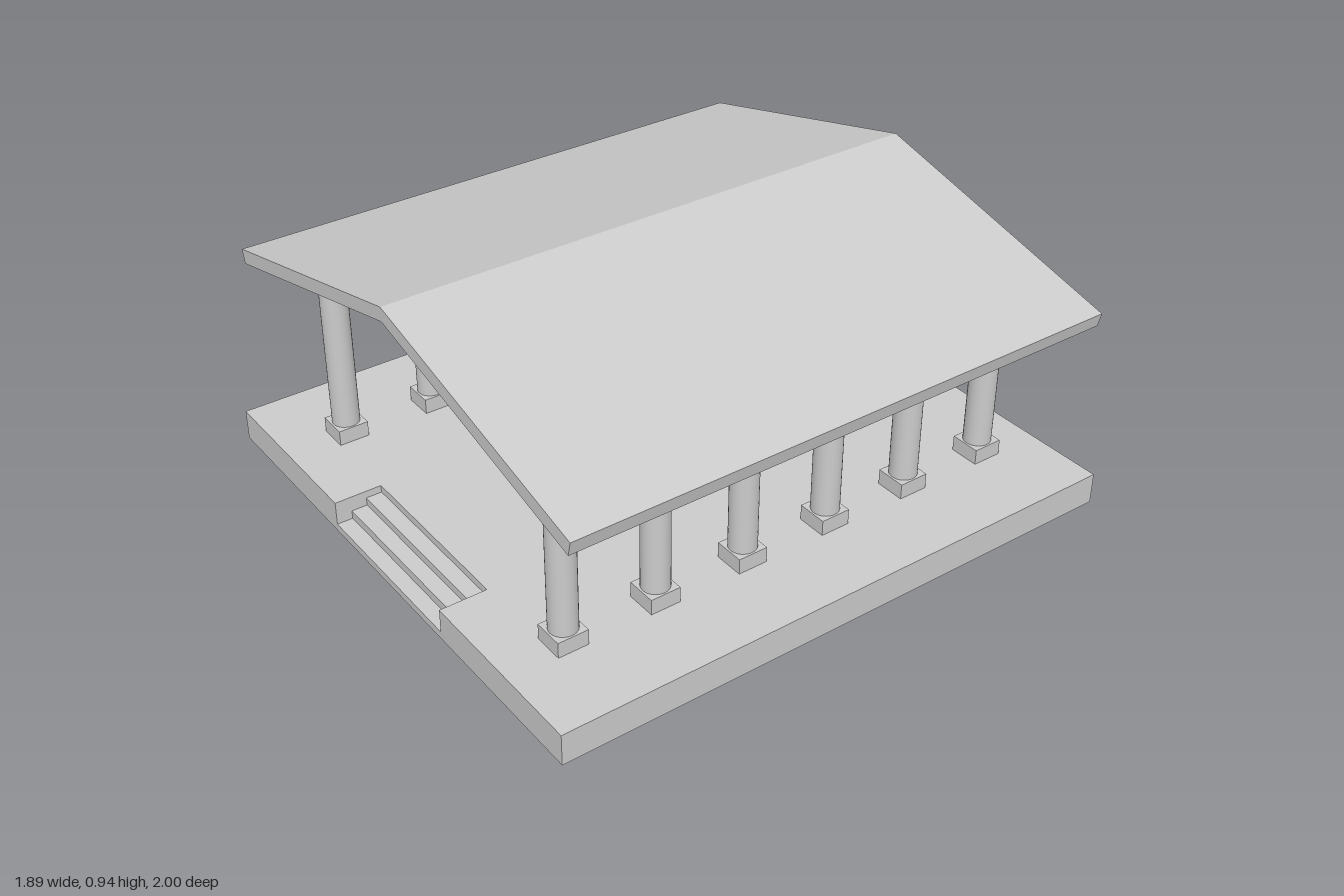
import * as THREE from 'three';

const material = new THREE.MeshStandardMaterial({ color: 0xcccccc });

function shapeOf(points) {
  return new THREE.Shape(points.map(([x, y]) => new THREE.Vector2(x, y)));
}

// Extrudes an x/y outline between two z positions
function prism(points, z0, z1) {
  const geometry = new THREE.ExtrudeGeometry(shapeOf(points), { depth: z1 - z0, bevelEnabled: false });
  return geometry.translate(0, 0, z0);
}

// Box given by its minimum and maximum corners
function block(x0, y0, z0, x1, y1, z1) {
  return new THREE.BoxGeometry(x1 - x0, y1 - y0, z1 - z0)
    .translate((x0 + x1) / 2, (y0 + y1) / 2, (z0 + z1) / 2);
}

function add(parent, name, geometry) {
  const mesh = new THREE.Mesh(geometry, material);
  mesh.name = name;
  parent.add(mesh);
  return mesh;
}

function group(parent, name) {
  const g = new THREE.Group();
  g.name = name;
  parent.add(g);
  return g;
}

const FLOOR = 0.105;

// Platform: stacked layers whose front notch deepens upwards, forming the steps
function buildPlatform(parent) {
  const platform = group(parent, 'platform');
  const levels = [0, 0.025, 0.053, 0.08, FLOOR];
  const hx = 0.945, notch = 0.315, tread = 0.053;
  for (let i = 0; i < 4; i++) {
    const back = -1 + i * tread;
    const outline = [[-hx, -1]];
    if (i > 0) outline.push([-notch, -1], [-notch, back], [notch, back], [notch, -1]);
    outline.push([hx, -1], [hx, 1], [-hx, 1]);
    const geometry = prism(outline, levels[i], levels[i + 1]).rotateX(-Math.PI / 2);
    add(platform, i === 0 ? 'baseSlab' : 'stepLayer' + i, geometry);
  }
}

// Columns with square plinths, and sloped-top beams each carried by three columns
function buildColonnade(parent, side) {
  const row = group(parent, side > 0 ? 'leftColonnade' : 'rightColonnade');
  const x = 0.635 * side, half = 0.051, spacing = 0.315, beamBottom = 0.69;
  for (let i = 0; i < 6; i++) {
    const z = (i - 2.5) * spacing;
    add(row, 'plinth', block(x - half, FLOOR, z - half, x + half, 0.157, z + half));
    const height = beamBottom - 0.157;
    add(row, 'columnShaft', new THREE.CylinderGeometry(0.045, 0.045, height, 32))
      .position.set(x, 0.157 + height / 2, z);
  }
  const inner = 0.635 - half, outer = 0.635 + half;
  const outline = [[inner, beamBottom], [outer, beamBottom], [outer, 0.72], [inner, 0.746]]
    .map(([px, py]) => [px * side, py]);
  for (const end of [-1, 1]) {
    const a = end * (0.5 * spacing - half), b = end * (2.5 * spacing + half);
    add(row, 'roofBeam', prism(outline, Math.min(a, b), Math.max(a, b)));
  }
}

// High-backed chair near the rear of the floor
function buildChair(parent) {
  const chair = group(parent, 'chair');
  const w = 0.105, inner = 0.064, front = -0.527, back = -0.737, rest = -0.696, under = 0.19;
  add(chair, 'seat', block(-w, under, rest, w, 0.315, front));
  add(chair, 'backrest', prism(
    [[-w, under], [w, under], [w, 0.635], [0.024, 0.735], [0.012, 0.742],
      [-0.012, 0.742], [-0.024, 0.735], [-w, 0.635]], back, rest));
  for (const s of [-1, 1]) {
    const x0 = s > 0 ? inner : -w, x1 = s > 0 ? w : -inner;
    add(chair, 'armrest', block(x0, 0.315, rest, x1, 0.425, front));
    add(chair, 'frontLeg', block(x0, FLOOR, front - 0.042, x1, under, front));
    add(chair, 'backLeg', block(x0, FLOOR, back, x1, under, rest));
  }
}

export function createModel() {
  const model = new THREE.Group();
  model.name = 'pavilion';
  buildPlatform(model);
  for (const side of [1, -1]) buildColonnade(model, side);
  buildChair(model);

  // Gabled roof slab of even thickness
  add(model, 'roof', prism(
    [[-0.92, 0.656], [0, 0.888], [0.92, 0.656], [0.931, 0.703], [0, 0.935], [-0.931, 0.703]],
    -0.947, 0.945));
  return model;
}
